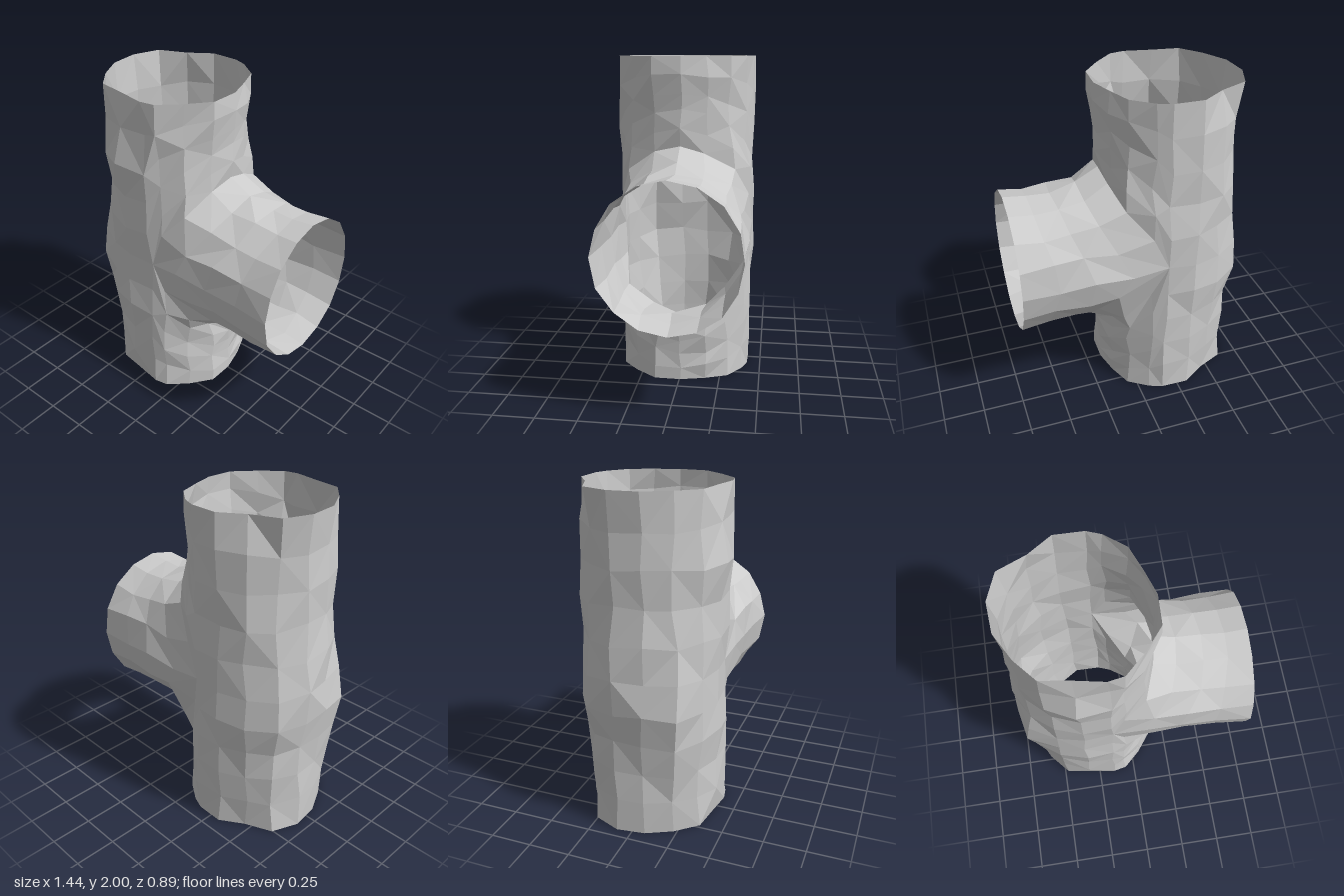
import * as THREE from 'three';

const R = 0.42, CX = -0.26;        // upright tube radius and axis
const CY = 0.96, HY = 0.53, HZ = 0.405; // branch axis height, opening half height and half width
const END = 0.715;                 // x of the branch mouth

// Swellings and hollows of the upright tube: angle (from +x towards +z), y, amount, angle spread, y spread
const LUMPS = [
  [2.5, 0.79, 0.075, 0.4, 0.28],
  [3.67, 0.87, 0.07, 0.5, 0.3],
  [1.57, 1.57, 0.03, 0.35, 0.14],
  [0, 1.72, -0.02, 0.5, 0.14],
  [Math.PI, 1.65, -0.015, 0.4, 0.2],
  // webs where the branch joins
  [5.2, 1.2, 0.035, 0.3, 0.15],
  [5.55, 1.33, 0.04, 0.25, 0.14],
  [0.7, 1.33, 0.045, 0.3, 0.14],
  [0.7, 0.62, 0.04, 0.3, 0.14],
  [5.58, 0.62, 0.035, 0.3, 0.14],
];

// Uneven outline shared by the top and bottom rims: angle, amount
const RIM = [
  [0.4, 0.025], [1.07, 0.02], [1.65, -0.035], [2.7, -0.03], [3.14, 0.025],
  [3.7, 0.02], [4.24, -0.05], [4.77, 0.015], [5.43, 0.01], [5.99, -0.015],
];
for (const [angle, amount] of RIM) {
  for (const y of [0, 2]) LUMPS.push([angle, y, amount, 0.25, 0.2]);
}

// Repeatable noise in -1..1 that depends on position only, so shared edges stay closed
function noise(p, seed) {
  const k = Math.round(p.x * 1000) * 12.9898 + Math.round(p.y * 1000) * 78.233 +
    Math.round(p.z * 1000) * 37.719 + seed * 11.13;
  const s = Math.sin(k) * 43758.5453;
  return (s - Math.floor(s)) * 2 - 1;
}

// Rough stone offset, fading to none at the open rims
function roughen(p) {
  const rim = Math.min(p.y, 2 - p.y, END - p.x);
  const a = rim < 0.001 ? 0.005 : 0.016;
  const q = new THREE.Vector3(p.x + a * noise(p, 1), p.y + a * noise(p, 2), p.z + a * noise(p, 3));
  if (p.y < 0.001 || p.y > 1.999) q.y = p.y;
  if (p.x > END - 0.001) q.x = p.x;
  return q;
}

// Adds a closed band of quads, point(i, j), columns around and rows along
function addGrid(out, columns, rows, point) {
  const at = (i, j) => roughen(point(i % columns, j));
  for (let j = 0; j < rows; j++) {
    for (let i = 0; i < columns; i++) {
      const a = at(i, j), b = at(i + 1, j), c = at(i + 1, j + 1), d = at(i, j + 1);
      const tris = (i * 7 + j * 3) % 5 < 2 ? [a, d, c, a, c, b] : [a, d, b, d, c, b];
      for (const v of tris) out.push(v.x, v.y, v.z);
    }
  }
}

function makeMesh(name, points) {
  const geometry = new THREE.BufferGeometry();
  geometry.setAttribute('position', new THREE.Float32BufferAttribute(points, 3));
  geometry.computeVertexNormals();
  const mesh = new THREE.Mesh(geometry, new THREE.MeshStandardMaterial({
    color: 0xcccccc, flatShading: true, side: THREE.DoubleSide,
  }));
  mesh.name = name;
  return mesh;
}

export function createModel() {
  const group = new THREE.Group();
  group.name = 'tunnelJunction';

  // Column angles: across the opening first, then round the back
  const angles = [];
  for (let i = 0; i <= 8; i++) angles.push(Math.asin(-HZ * Math.cos(i * Math.PI / 8) / R));
  const edge = angles[8], back = 9;
  for (let i = 1; i < back; i++) angles.push(edge + (2 * Math.PI - 2 * edge) * i / back);

  // Half height of the opening at a column (zero round the back)
  const opening = (i) => (i < 8 ? HY * Math.sin(i * Math.PI / 8) : 0);

  // Point on the upright tube
  const wall = (i, y) => {
    const t = angles[i];
    let r = R;
    for (const [angle, ly, amount, wide, tall] of LUMPS) {
      const turn = Math.atan2(Math.sin(t - angle), Math.cos(t - angle));
      r += amount * Math.exp(-((turn / wide) ** 2) - ((y - ly) / tall) ** 2);
    }
    return new THREE.Vector3(CX + r * Math.cos(t), y, r * Math.sin(t) - 0.005);
  };

  // Upright tube: below and above the opening
  const main = [], rows = 5;
  addGrid(main, angles.length, rows, (i, j) => wall(i, (CY - opening(i)) * j / rows));
  addGrid(main, angles.length, rows, (i, j) => {
    const y = CY + opening(i);
    return wall(i, y + (2 - y) * j / rows);
  });
  group.add(makeMesh('uprightTube', main));

  // Side branch: starts on the rim of the opening, round at the mouth
  const branch = [];
  const halfHeights = [HY, 0.435, 0.42, 0.415, 0.43];
  const halfWidths = [HZ, 0.415, 0.41, 0.41, 0.42];
  addGrid(branch, 16, 4, (i, j) => {
    const column = Math.abs(8 - i), side = i <= 8 ? 1 : -1;
    const start = wall(column, CY + side * opening(column));
    if (j === 0) return start;
    const t = i * Math.PI / 8;
    return new THREE.Vector3(
      start.x + (END - start.x) * j / 4,
      CY - 0.003 * j + halfHeights[j] * Math.sin(t),
      halfWidths[j] * Math.cos(t) - 0.008);
  });
  group.add(makeMesh('sideBranch', branch));

  return group;
}
